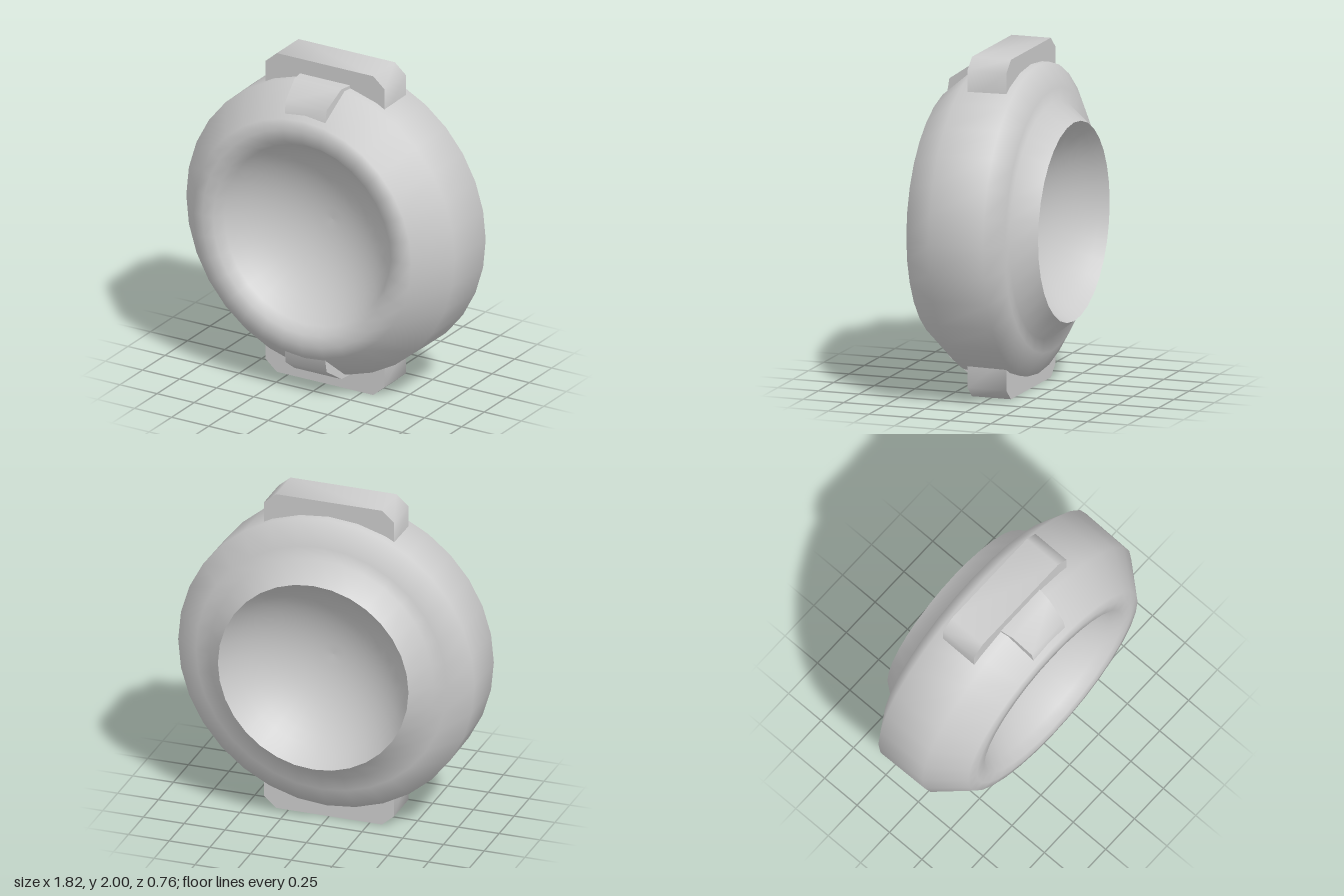
import * as THREE from 'three';
import { toCreasedNormals } from 'three/addons/utils/BufferGeometryUtils.js';

const SIDES = 32;
const material = new THREE.MeshStandardMaterial({ color: 0xcccccc });

// Spherical hollow from its centre out to the rim, as lathe points (radius, z)
function bowl(rim, zRim, depth, steps = 10) {
  const size = (rim * rim + depth * depth) / (2 * Math.abs(depth));
  const sweep = Math.asin(rim / size);
  const points = [];
  for (let i = 0; i <= steps; i++) {
    const a = (sweep * i) / steps;
    const rise = size * (1 - Math.cos(a)) - Math.abs(depth);
    points.push(new THREE.Vector2(size * Math.sin(a), zRim + Math.sign(depth) * rise));
  }
  return points;
}

// Lathe turned so that its axis runs along z
function turned(name, points) {
  const geometry = new THREE.LatheGeometry(points, SIDES).rotateX(Math.PI / 2);
  const mesh = new THREE.Mesh(geometry, material);
  mesh.name = name;
  return mesh;
}

// Outline extruded symmetrically about its own plane
function slab(points, depth) {
  const shape = new THREE.Shape(points.map(([x, y]) => new THREE.Vector2(x, y)));
  const geometry = new THREE.ExtrudeGeometry(shape, { depth, bevelEnabled: false });
  return geometry.translate(0, 0, -depth / 2);
}

export function createModel() {
  const model = new THREE.Group();
  const body = new THREE.Group();
  body.name = 'ringBody';
  body.position.y = 1;
  model.add(body);

  // Outer shell, back collar to front rim, running on into the front hollow
  const outer = [
    [0.585, -0.385], [0.69, -0.25], [0.77, -0.25], [0.91, -0.165],
    [0.905, 0.17], [0.735, 0.37], [0.67, 0.38],
  ].map(([r, z]) => new THREE.Vector2(r, z));
  body.add(turned('shell', [...outer, ...bowl(0.6, 0.375, 0.34).reverse()]));

  // Rear hollow
  body.add(turned('rearHollow', bowl(0.585, -0.385, -0.34)));

  // Chamfered lug and small front boss, at the top and the bottom
  const lugGeometry = toCreasedNormals(slab([
    [-0.4, 0.75], [0.4, 0.75], [0.4, 0.935], [0.325, 1], [-0.325, 1], [-0.4, 0.935],
  ], 0.24), Math.PI / 3);

  const bossGeometry = slab([
    [0.05, 0.75], [0.35, 0.7], [0.33, 0.82], [0.2, 0.908], [0.05, 0.908],
  ], 0.36).rotateY(-Math.PI / 2);
  // Narrow the boss towards the front
  const position = bossGeometry.attributes.position;
  for (let i = 0; i < position.count; i++) {
    const taper = THREE.MathUtils.mapLinear(position.getZ(i), 0.05, 0.35, 1, 0.75);
    position.setX(i, position.getX(i) * taper);
  }
  const boss = toCreasedNormals(bossGeometry, Math.PI / 3);

  for (const [end, turn] of [['top', 0], ['bottom', Math.PI]]) {
    const lug = new THREE.Mesh(lugGeometry, material);
    lug.name = `${end}Lug`;
    lug.rotation.z = turn;
    const bump = new THREE.Mesh(boss, material);
    bump.name = `${end}Boss`;
    bump.rotation.z = turn;
    body.add(lug, bump);
  }
  return model;
}
